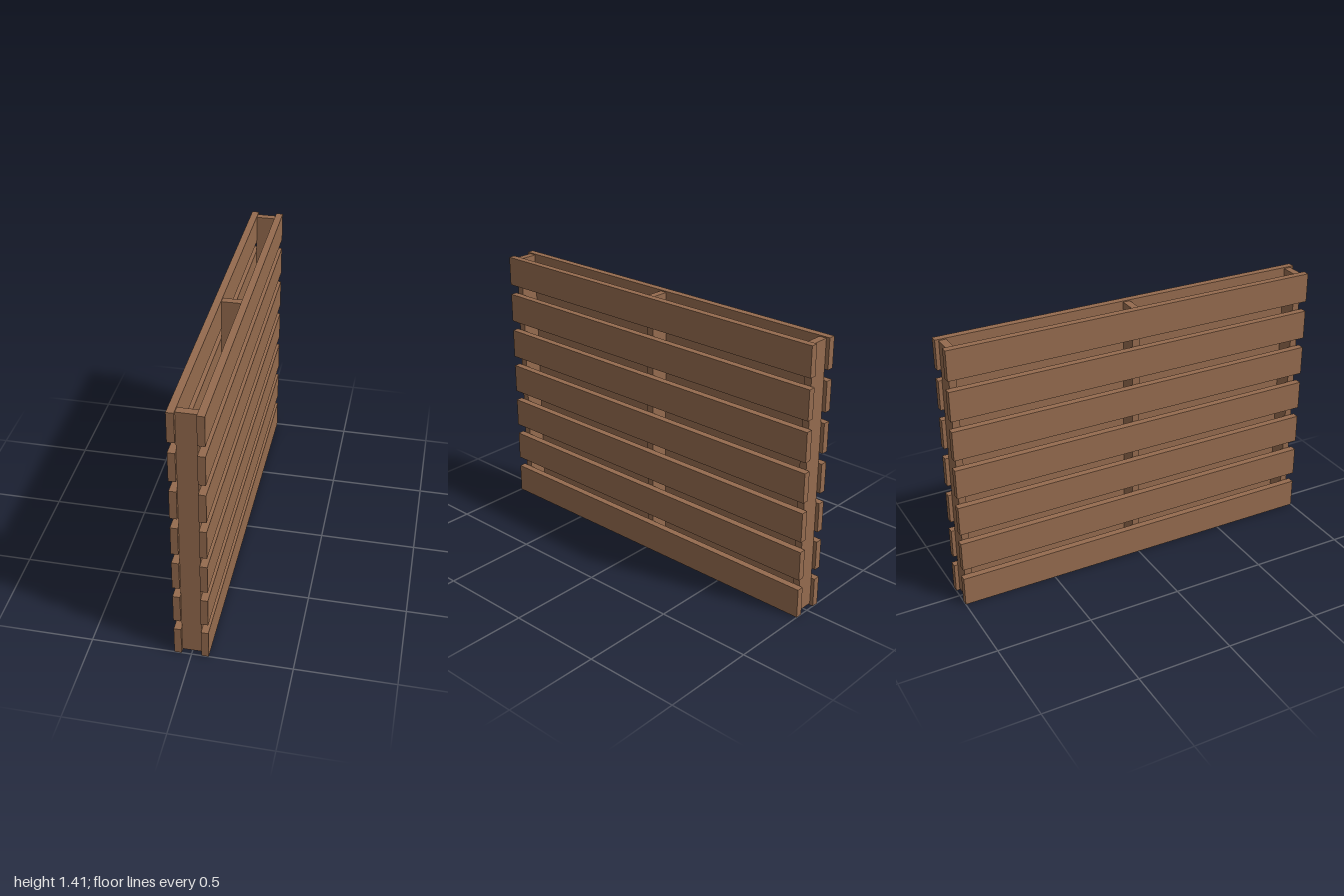
import * as THREE from 'three';

const wood = new THREE.MeshStandardMaterial({ color: 0x956b4e });

function board(name, w, h, d, x, y, z) {
  const mesh = new THREE.Mesh(new THREE.BoxGeometry(w, h, d), wood);
  mesh.name = name;
  mesh.position.set(x, y, z);
  return mesh;
}

export function createModel() {
  const pallet = new THREE.Group();
  pallet.name = 'pallet';

  // Three upright stringers between the two decks
  for (const z of [-0.962, 0, 0.962]) {
    pallet.add(board('stringer', 0.098, 1.4, 0.038, 0, 0.709, z));
  }

  // Seven deck boards on each side
  const count = 7, height = 0.155, total = 1.415;
  const pitch = (total - height) / (count - 1);
  for (const side of [-1, 1]) {
    const deck = new THREE.Group();
    deck.name = side > 0 ? 'leftDeck' : 'rightDeck';
    for (let i = 0; i < count; i++) {
      deck.add(board('deckBoard', 0.036, height, 2, side * 0.067, height / 2 + i * pitch, 0));
    }
    pallet.add(deck);
  }
  return pallet;
}
